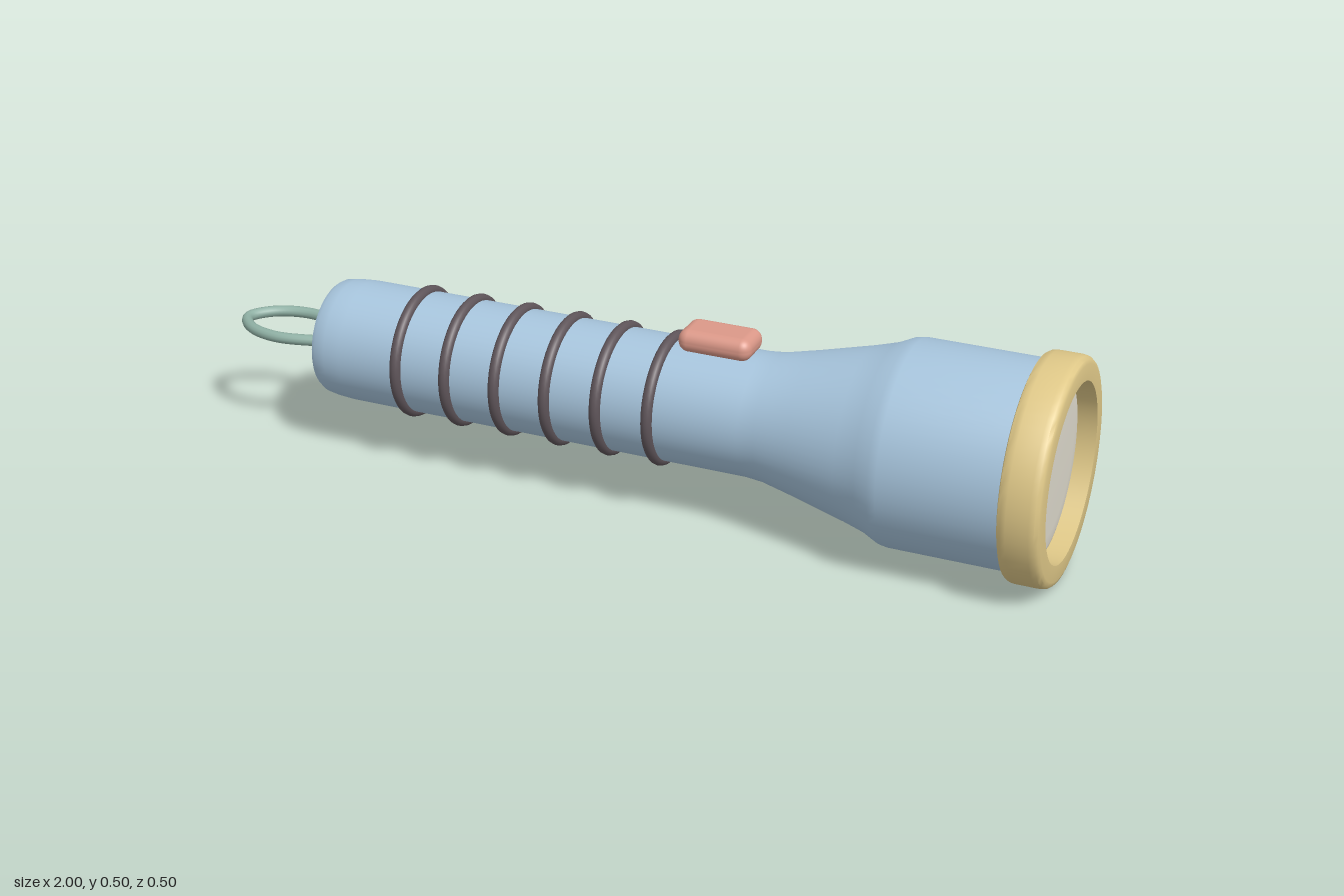
import * as THREE from 'three';
import { toCreasedNormals } from 'three/addons/utils/BufferGeometryUtils.js';
import { RoundedBoxGeometry } from 'three/addons/geometries/RoundedBoxGeometry.js';

const AXIS_Y = 0.25;

const material = (name, color) => {
  const m = new THREE.MeshStandardMaterial({ color });
  m.name = name;
  return m;
};

export function createModel() {
  const blue = material('body blue', 0xa8c6de);
  const gold = material('bezel gold', 0xdfc888);
  const glass = material('lens grey', 0xdedacd);
  const dark = material('grip dark', 0x5f555a);
  const coral = material('switch coral', 0xdb9888);
  const green = material('loop green', 0x8fb0a4);

  const torch = new THREE.Group();
  torch.name = 'flashlight';

  const add = (name, geometry, mat, x = 0, y = AXIS_Y, z = 0) => {
    const mesh = new THREE.Mesh(geometry, mat);
    mesh.name = name;
    mesh.position.set(x, y, z);
    torch.add(mesh);
    return mesh;
  };

  // Turned part along x, from [x, radius] pairs
  const turned = (name, profile, mat) => {
    const points = profile.map(([x, r]) => new THREE.Vector2(r, x));
    const geometry = new THREE.LatheGeometry(points, 56);
    geometry.rotateZ(-Math.PI / 2);
    return add(name, toCreasedNormals(geometry, 0.65), mat);
  };

  // Handle flaring into the head
  turned('body', [
    [-0.75, 0], [-0.75, 0.115], [-0.746, 0.126], [-0.735, 0.133], [-0.71, 0.137], [-0.67, 0.14],
    [0.3, 0.14], [0.34, 0.144], [0.42, 0.163], [0.54, 0.194], [0.59, 0.209], [0.625, 0.226], [0.645, 0.229],
    [0.93, 0.229],
  ], blue);

  // Bezel ring with a recessed opening
  turned('bezel', [
    [0.908, 0.2], [0.908, 0.236], [0.911, 0.244], [0.919, 0.249], [0.93, 0.25],
    [0.978, 0.25], [0.99, 0.248], [0.997, 0.242], [1, 0.233],
    [1, 0.197], [0.93, 0.197],
  ], gold);

  // Lens with a softened rim
  turned('lens', [
    [0.94, 0.199], [0.953, 0.197], [0.958, 0.19], [0.961, 0.178], [0.962, 0.15], [0.962, 0],
  ], glass);

  // Grip rings
  for (let i = 0; i < 6; i++) {
    const ring = new THREE.TorusGeometry(0.14, 0.013, 12, 56);
    ring.rotateY(Math.PI / 2);
    add('gripRing', ring, dark, -0.523 + i * 0.123);
  }

  // Sliding switch on top
  add('switch', new RoundedBoxGeometry(0.17, 0.052, 0.1, 5, 0.024), coral, 0.206, 0.411);

  // Lanyard loop at the tail
  const half = [[-0.71, 0.035], [-0.75, 0.049], [-0.87, 0.074], [-0.95, 0.05]];
  const path = [
    ...half, [-0.987, 0],
    ...half.slice().reverse().map(([x, z]) => [x, -z]),
  ].map(([x, z]) => new THREE.Vector3(x, 0, z));
  const loop = new THREE.TubeGeometry(new THREE.CatmullRomCurve3(path), 64, 0.013, 12);
  add('lanyardLoop', loop, green, 0, 0.253);

  return torch;
}
